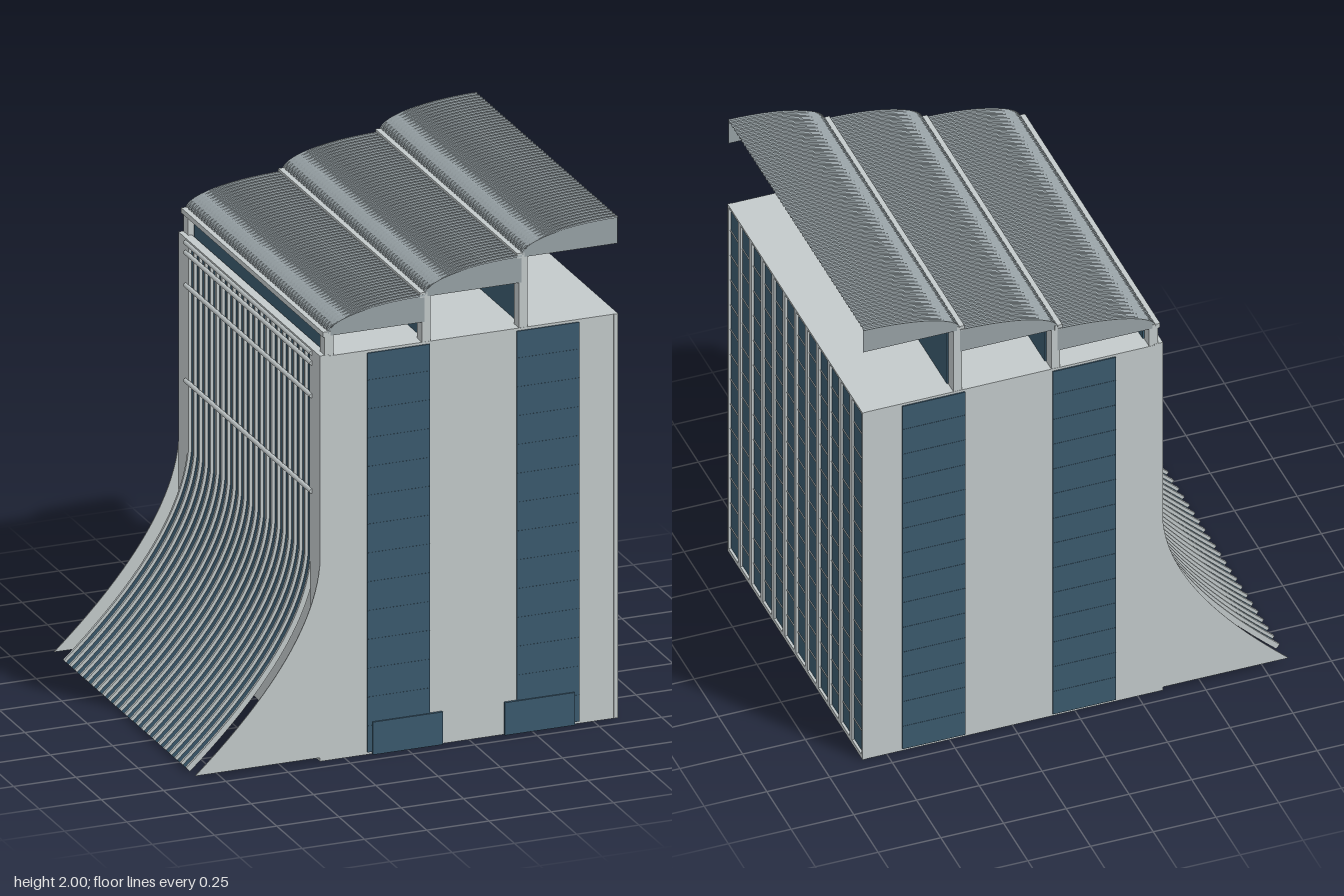
import * as THREE from 'three';

const mat = (color, extra = {}) => new THREE.MeshStandardMaterial({ color, ...extra });
const wall = mat(0xc3cacb);
const glass = mat(0x3b5a6e);
const metal = mat(0x98a2a6, { side: THREE.DoubleSide, flatShading: true });
const thinWall = mat(0xc3cacb, { side: THREE.DoubleSide });

export function createModel() {
  const model = new THREE.Group();

  const add = (name, geometry, material, parent = model) => {
    const mesh = new THREE.Mesh(geometry, material);
    mesh.name = name;
    parent.add(mesh);
    return mesh;
  };
  // box given by its lower and upper limits on each axis
  const box = (name, x0, x1, y0, y1, z0, z1, material = wall, parent = model) => {
    const mesh = add(name, new THREE.BoxGeometry(x1 - x0, y1 - y0, z1 - z0), material, parent);
    mesh.position.set((x0 + x1) / 2, (y0 + y1) / 2, (z0 + z1) / 2);
    return mesh;
  };
  const group = (name) => {
    const g = new THREE.Group();
    g.name = name;
    model.add(g);
    return g;
  };

  // main block, with corner pillars framing the sloped side
  box('mainBlock', -0.32, 0.835, 0, 1.61, -0.695, 0.695);
  for (const s of [-1, 1]) {
    box('cornerPillar', -0.35, -0.32, 0, 1.61, s * 0.65 - 0.045, s * 0.65 + 0.045);
  }
  box('headBeam', -0.35, -0.315, 1.59, 1.615, -0.695, 0.695);

  // tall window strips and floor lines on both long faces
  const floorStep = 0.1148;
  for (const s of [-1, 1]) {
    const windows = group(s > 0 ? 'frontWindows' : 'backWindows');
    for (const x of [-0.16, 0.44]) {
      box('windowStrip', x, x + 0.25, 0.01, 1.6, s * 0.696 - 0.004, s * 0.696 + 0.004, glass, windows);
      for (let i = 1; i < 14; i++) {
        const y = i * floorStep;
        box('floorLine', x, x + 0.25, y - 0.0015, y + 0.0015, s * 0.698 - 0.003, s * 0.698 + 0.003, glass, windows);
      }
    }
  }
  for (const x of [-0.14, 0.39]) box('entrance', x, x + 0.28, 0, 0.13, 0.69, 0.706, glass);

  // curtain wall with vertical fins
  const curtain = group('curtainWall');
  box('curtainGlass', 0.83, 0.839, 0.02, 1.6, -0.69, 0.69, glass, curtain);
  for (let i = 0; i <= 12; i++) {
    const z = -0.69 + i * 0.115;
    const w = i % 12 ? 0.0125 : 0.006;
    box('fin', 0.83, 0.848, 0, 1.61, z - w, z + w, wall, curtain);
  }
  for (let i = 1; i < 14; i++) {
    const y = i * floorStep;
    box('transom', 0.83, 0.842, y - 0.002, y + 0.002, -0.69, 0.69, wall, curtain);
  }
  box('curtainSill', 0.83, 0.848, 0, 0.018, -0.695, 0.695, wall, curtain);
  box('curtainHead', 0.83, 0.848, 1.6, 1.61, -0.695, 0.695, wall, curtain);

  // swept profile shared by the sloped glazing, its ribs and the side wings
  const sweep = new THREE.QuadraticBezierCurve(
    new THREE.Vector2(-0.85, 0.015), new THREE.Vector2(-0.38, 0.44), new THREE.Vector2(-0.35, 0.78));
  const profile = [...sweep.getPoints(20), new THREE.Vector2(-0.35, 1.6)];
  const normals = profile.map((p, i) => {
    const a = profile[Math.max(i - 1, 0)], b = profile[Math.min(i + 1, profile.length - 1)];
    const t = b.clone().sub(a).normalize();
    return new THREE.Vector2(t.y, -t.x);
  });
  // solid strip following the profile between two inward offsets
  const strip = (from, to, width) => {
    const at = (d) => profile.map((p, i) => p.clone().addScaledVector(normals[i], d));
    const shape = new THREE.Shape([...at(from), ...at(to).reverse()]);
    return new THREE.ExtrudeGeometry(shape, { depth: width, bevelEnabled: false }).translate(0, 0, -width / 2);
  };
  const slope = group('slopedGlazing');
  add('slopedGlass', strip(0.012, 0.018, 1.2), glass, slope);
  const ribGeometry = strip(0, 0.022, 0.011);
  for (let i = 0; i <= 22; i++) {
    add('rib', ribGeometry, wall, slope).position.z = -0.6 + (i * 1.2) / 22;
  }

  // horizontal rails across the upper ribs
  for (const y of [1.05, 1.43, 1.56, 1.6]) {
    const rail = add('rail', new THREE.CylinderGeometry(0.009, 0.009, 1.24, 8), wall, slope);
    rail.rotation.x = Math.PI / 2;
    rail.position.set(-0.352, y, 0);
  }

  // thin side wings flaring out to the ground
  const wingShape = new THREE.Shape([...sweep.getPoints(20),
    new THREE.Vector2(-0.33, 0.78), new THREE.Vector2(-0.33, 0.015)]);
  for (const s of [-1, 1]) {
    const wing = add('sideWing', new THREE.ExtrudeGeometry(wingShape, { depth: 0.004, bevelEnabled: false }), thinWall);
    wing.position.z = s * 0.693 - 0.002;
  }

  // corrugated quarter-vault: ridges run along the arc, repeated in z
  const vault = (x0, x1, y0) => {
    const ridges = 56, segs = 14, pitch = 1.4 / ridges;
    const zs = [];
    for (let i = 0; i < ridges; i++) {
      [[0, 0], [0.4, 0], [0.5, 1], [0.9, 1]].forEach(([f, h]) => zs.push([-0.7 + (i + f) * pitch, h * 0.006]));
    }
    zs.push([0.7, 0]);
    const pos = [], index = [], row = segs + 1;
    zs.forEach(([z, h], k) => {
      for (let j = 0; j <= segs; j++) {
        const a = (j / segs) * Math.PI / 2;
        pos.push(x1 - (x1 - x0 - h) * Math.cos(a), y0 + (0.094 + h) * Math.sin(a), z);
        if (k && j) {
          const d = k * row + j, c = d - 1, b = d - row, e = b - 1;
          index.push(e, c, d, e, d, b);
        }
      }
    });
    const g = new THREE.BufferGeometry();
    g.setAttribute('position', new THREE.Float32BufferAttribute(pos, 3));
    g.setIndex(index);
    g.computeVertexNormals();
    return g;
  };

  // three stepped roof bays, each on a column frame with a glazed wall
  const bays = [[-0.32, 0.07, 1.7], [0.07, 0.46, 1.8], [0.46, 0.845, 1.9]];
  for (const [x0, x1, y0] of bays) {
    const bay = group('roofBay');
    add('roofVault', vault(x0, x1, y0), metal, bay);

    // end panels closing the vault at both gables
    const gable = new THREE.Shape();
    gable.moveTo(x1, y0 - 0.01);
    for (let j = 0; j <= 14; j++) {
      const a = Math.PI / 2 * (1 - j / 14);
      gable.lineTo(x1 - (x1 - x0) * Math.cos(a), y0 + 0.094 * Math.sin(a));
    }
    gable.lineTo(x0, y0 - 0.01);
    for (const s of [-1, 1]) {
      add('gablePanel', new THREE.ShapeGeometry(gable), metal, bay).position.z = s * 0.695;
      box('column', x0 - 0.01, x0 + 0.025, 1.61, y0, s * 0.67 - 0.024, s * 0.67 + 0.024, wall, bay);
    }
    box('beam', x0 - 0.018, x0 + 0.012, y0 - 0.012, y0 + 0.008, -0.697, 0.697, wall, bay);
    box('clerestory', x0 + 0.01, x0 + 0.03, 1.61, y0 - 0.012, -0.64, 0.64, glass, bay);
  }

  return model;
}
